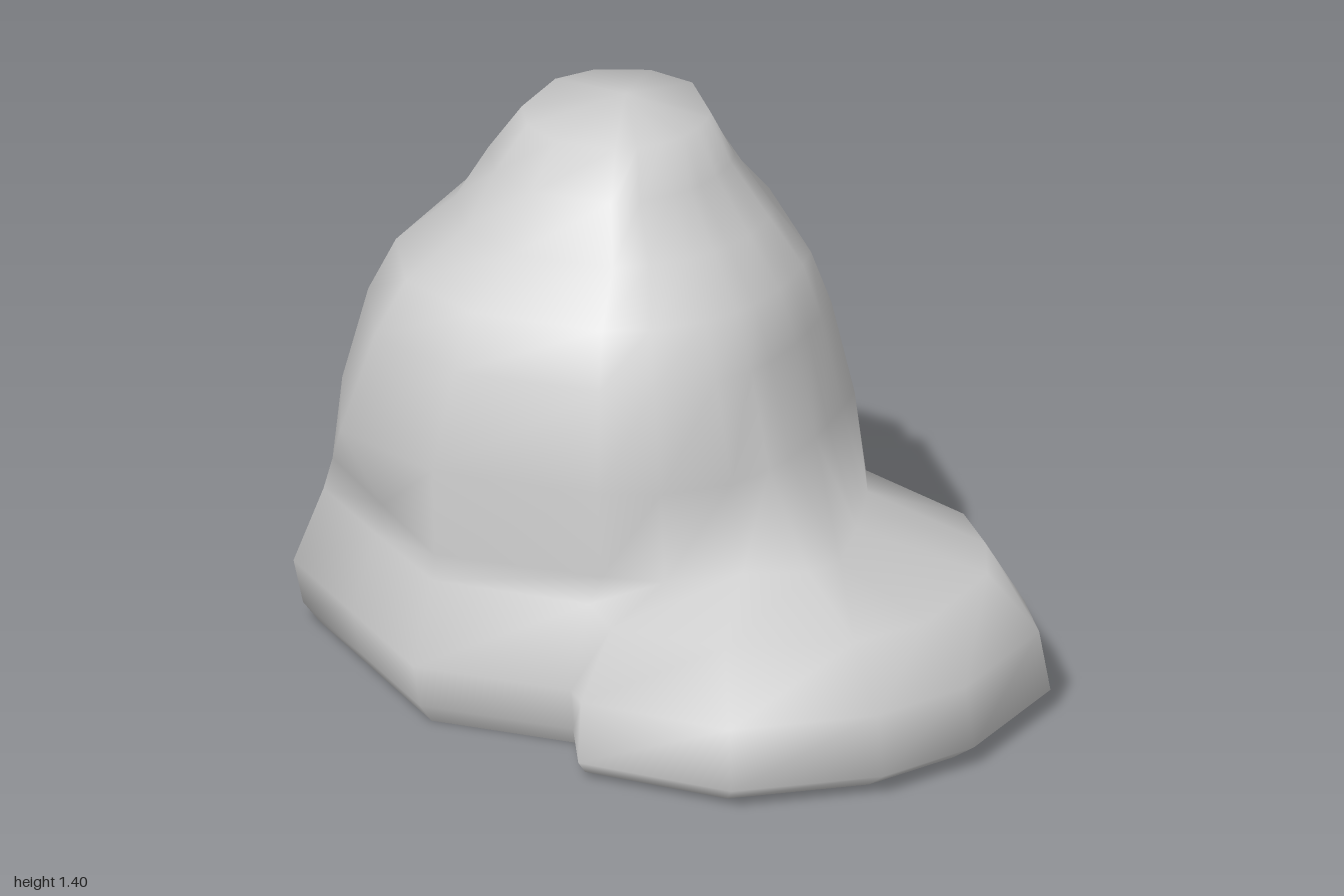
import * as THREE from 'three';

// Columns around the rock: skirt x,z | shoulder x,y,z | crease x,y,z where the upper body starts
const columns = [
  [-1.0, -0.5, -0.89, 0.33, -0.48, -0.86, 0.42, -0.46],
  [-0.69, -0.89, -0.64, 0.28, -0.79, -0.62, 0.4, -0.73],
  [-0.22, -0.92, -0.2, 0.28, -0.84, -0.2, 0.4, -0.79],
  [0.23, -0.76, 0.16, 0.3, -0.68, 0.13, 0.4, -0.63],
  [0.55, -0.3, 0.47, 0.33, -0.26, 0.42, 0.43, -0.22],
  [0.74, -0.3, 0.68, 0.36, -0.2, 0.46, 0.42, -0.12],
  [0.9, -0.1, 0.79, 0.36, -0.05, 0.49, 0.42, 0.0],
  [1.0, 0.07, 0.84, 0.34, 0.08, 0.51, 0.42, 0.1],
  [0.94, 0.46, 0.8, 0.34, 0.4, 0.53, 0.41, 0.28],
  [0.79, 0.7, 0.68, 0.35, 0.6, 0.48, 0.41, 0.37],
  [0.47, 0.91, 0.4, 0.36, 0.76, 0.33, 0.41, 0.43],
  [0.06, 0.87, 0.1, 0.36, 0.74, 0.16, 0.4, 0.52],
  [-0.02, 0.7, 0.0, 0.36, 0.62, 0.02, 0.42, 0.58],
  [-0.43, 0.69, -0.41, 0.36, 0.61, -0.41, 0.42, 0.59],
  [-0.68, 0.43, -0.64, 0.35, 0.37, -0.63, 0.42, 0.35],
  [-0.92, 0.18, -0.86, 0.34, 0.13, -0.84, 0.42, 0.12],
];
const isLobe = (i) => i >= 5 && i <= 11;

// Upper body rings: y, min x, max x, min z, max z, squareness
const rings = [
  [0.64, -0.82, 0.4, -0.7, 0.6, 2.8],
  [0.88, -0.76, 0.35, -0.62, 0.53, 2.5],
  [1.01, -0.7, 0.3, -0.57, 0.46, 2.3],
  [1.12, -0.57, 0.21, -0.48, 0.33, 2],
  [1.25, -0.49, 0.11, -0.41, 0.24, 2],
  [1.36, -0.41, 0.05, -0.34, 0.16, 2],
];

// Point of a rounded-square ring in the direction of a column
function ringPoint([y, x0, x1, z0, z1, n], column) {
  const t = Math.atan2(column[7] + 0.06, column[5] + 0.2);
  const c = Math.cos(t), s = Math.sin(t);
  const r = (Math.abs((2 * c) / (x1 - x0)) ** n + Math.abs((2 * s) / (z1 - z0)) ** n) ** (-1 / n);
  return [(x0 + x1) / 2 + r * c, y, (z0 + z1) / 2 + r * s];
}

// Skirt point, drawn in by a factor
const skirt = ([x, z], y, f) => [x * f, y, z * f];

export function createModel() {
  const loops = [
    columns.map((c) => skirt(c, 0, 0.93)),
    columns.map((c, i) => skirt(c, 0.05, isLobe(i) ? 1 : 0.975)),
    columns.map((c, i) => (isLobe(i) ? skirt(c, 0.2, 0.97) : skirt(c, 0.16, 1))),
    columns.map((c) => c.slice(2, 5)),
    columns.map((c) => c.slice(5, 8)),
    ...rings.map((r) => columns.map((c) => ringPoint(r, c))),
  ];

  const n = columns.length;
  const positions = loops.flat(2);
  const index = [];
  for (let k = 0; k < loops.length - 1; k++) {
    for (let i = 0; i < n; i++) {
      const a = k * n + i, b = k * n + ((i + 1) % n);
      index.push(a, a + n, b, b, a + n, b + n);
    }
  }
  // Peak closes the top; the underside stays open
  const peak = loops.length * n;
  positions.push(-0.16, 1.4, -0.1);
  for (let i = 0; i < n; i++) index.push(peak - n + i, peak, peak - n + ((i + 1) % n));

  const geometry = new THREE.BufferGeometry();
  geometry.setAttribute('position', new THREE.Float32BufferAttribute(positions, 3));
  geometry.setIndex(index);
  geometry.computeVertexNormals();

  const rock = new THREE.Mesh(
    geometry,
    new THREE.MeshStandardMaterial({ color: 0xcccccc, side: THREE.DoubleSide }),
  );
  rock.name = 'rock';
  const group = new THREE.Group();
  group.name = 'rockFormation';
  group.add(rock);
  return group;
}
